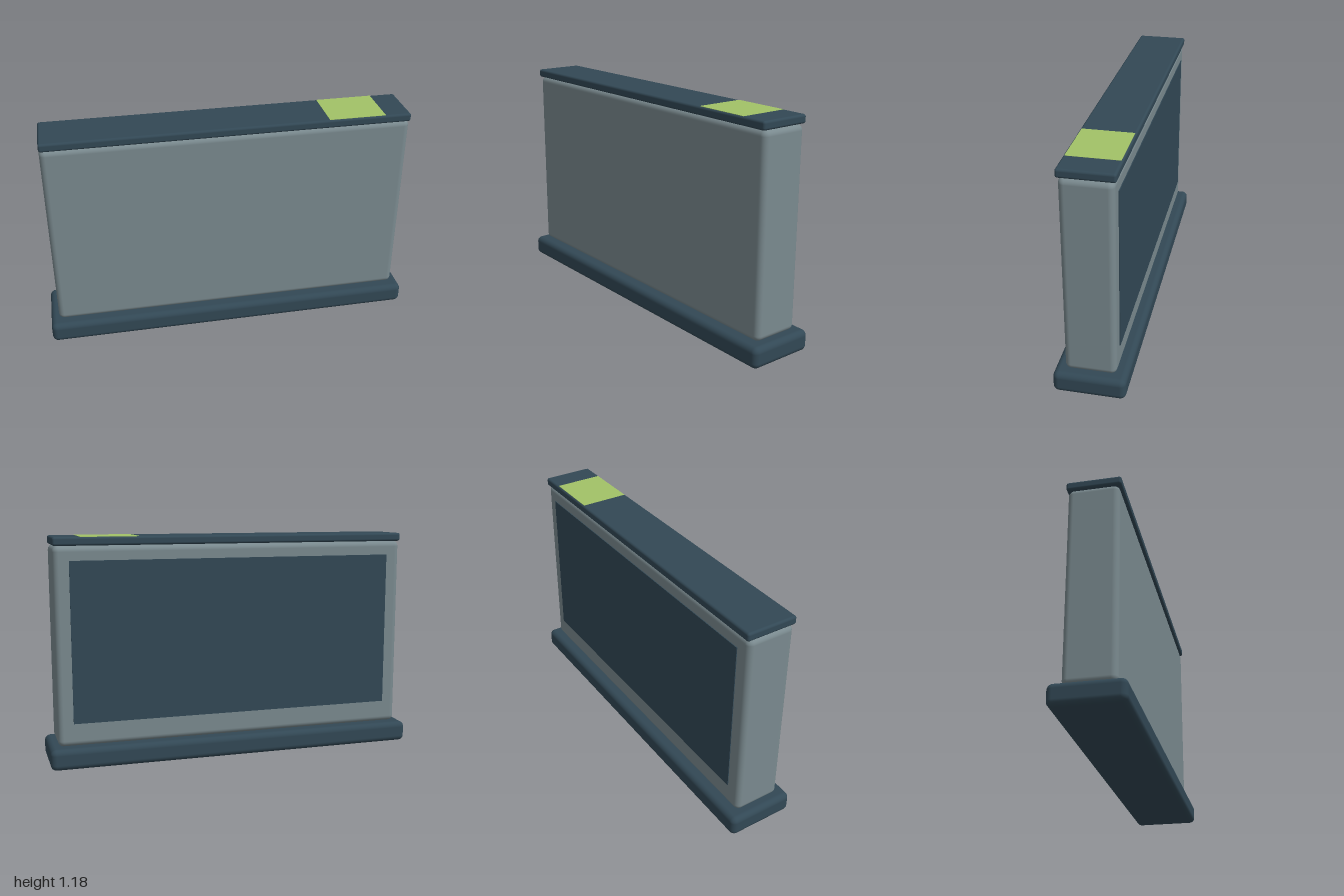
import * as THREE from 'three';
import { RoundedBoxGeometry } from 'three/addons/geometries/RoundedBoxGeometry.js';

const material = (color) => new THREE.MeshStandardMaterial({ color });

export function createModel() {
  const model = new THREE.Group();
  const dark = material(0x324855);
  const grey = material(0x7a8a8f);
  const green = material(0xa2c267);

  const add = (name, geometry, mat, x, y, z) => {
    const mesh = new THREE.Mesh(geometry, mat);
    mesh.name = name;
    mesh.position.set(x, y, z);
    model.add(mesh);
  };
  const rounded = (w, h, d, r) => new RoundedBoxGeometry(w, h, d, 5, r);

  // Plinth, main counter body and worktop
  add('base', rounded(2, 0.11, 0.36, 0.03), dark, 0, 0.055, 0);
  add('body', rounded(1.91, 1.03, 0.254, 0.03), grey, 0, 0.625, 0);
  add('top', rounded(1.91, 0.044, 0.272, 0.012), dark, 0, 1.162, 0);

  // Thin panel on the back and coloured pad on the worktop
  add('backPanel', new THREE.BoxGeometry(1.75, 0.835, 0.01), dark, 0, 0.648, -0.126);
  add('topPad', new THREE.BoxGeometry(0.3, 0.006, 0.256), green, 0.667, 1.182, 0);

  return model;
}
